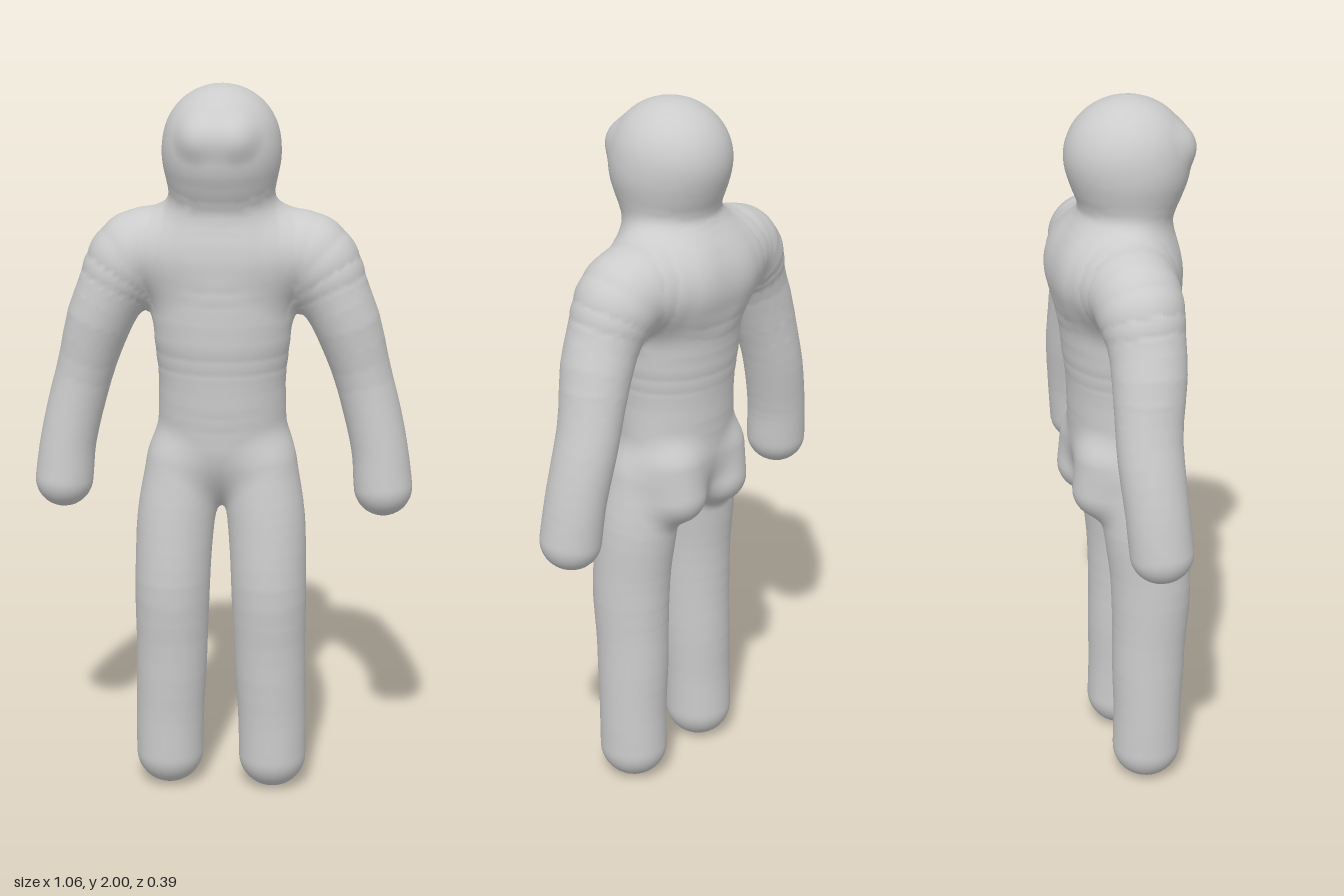
import * as THREE from 'three';

// Each part is a rounded tube through rows of [x, y, z, radius, depth / width].
// "blend" is how softly it melts into the parts before it.
const PARTS = [
  { name: 'torso', blend: 0, rows: [
    [0, 1.51, -0.015, 0.185, 0.95], [0, 1.36, 0, 0.19, 0.87],
    [0, 1.18, 0.003, 0.175, 0.86], [0, 1.03, 0, 0.178, 0.81]] },
  { name: 'neck', blend: 0.06, rows: [
    [0, 1.56, 0, 0.14, 0.95], [0, 1.68, 0.015, 0.143, 0.86], [0, 1.78, 0.025, 0.145, 0.95]] },
  { name: 'Arm', blend: 0.07, mirror: true, rows: [
    [0.1, 1.53, -0.03, 0.125, 1.15], [0.235, 1.53, -0.02, 0.118, 1.02],
    [0.32, 1.4, -0.01, 0.094, 1.08], [0.392, 1.18, -0.025, 0.079, 1.12],
    [0.435, 1.0, -0.015, 0.078, 1.1], [0.448, 0.886, -0.006, 0.081, 1.06]] },
  { name: 'Leg', blend: 0.045, mirror: true, rows: [
    [0.105, 0.95, 0.02, 0.105, 1.05], [0.126, 0.8, 0.035, 0.108, 1.06],
    [0.135, 0.62, 0.052, 0.105, 1.07], [0.139, 0.4, 0.045, 0.1, 1.03],
    [0.146, 0.2, 0.04, 0.096, 1], [0.147, 0.095, 0.038, 0.095, 1.02]] },
  { name: 'Buttock', blend: 0.04, mirror: true, rows: [
    [0.09, 1.0, -0.055, 0.085, 1.1], [0.088, 0.91, -0.068, 0.085, 1.06]] },
  { name: 'head', blend: 0.04, rows: [
    [0, 1.841, 0.018, 0.159, 1.06], [0, 1.835, 0.02, 0.159, 1.06]] },
  { name: 'facePlate', blend: 0.012, rows: [
    [-0.035, 1.862, 0.1, 0.08, 1.2], [0.035, 1.862, 0.1, 0.08, 1.2]] },
];

// Smooth the rows into short tapered segments, optionally mirrored.
function makePart({ name, blend, rows }, side = 1) {
  const path = new THREE.CatmullRomCurve3(rows.map(r => new THREE.Vector3(side * r[0], r[1], r[2])));
  const size = rows.map(r => [r[3], r[4]]);
  const n = rows.length > 2 ? (rows.length - 1) * 4 : 1;
  const segs = [];
  const sample = i => {
    const t = i / n, p = path.getPoint(t), f = t * (rows.length - 1);
    const j = Math.min(Math.floor(f), rows.length - 2), u = f - j;
    const s = u * u * (3 - 2 * u);
    const mix = k => size[j][k] + (size[j + 1][k] - size[j][k]) * s;
    return [p.x, p.y, p.z, mix(0), mix(1)];
  };
  for (let i = 0; i < n; i++) segs.push([sample(i), sample(i + 1)]);
  return { name, blend, segs };
}

const parts = PARTS.flatMap(p => p.mirror
  ? [makePart({ ...p, name: 'left' + p.name }, 1), makePart({ ...p, name: 'right' + p.name }, -1)]
  : [makePart(p)]);

// Signed distance to one part.
function partDistance(part, x, y, z) {
  let best = Infinity;
  for (const [a, b] of part.segs) {
    const ex = b[0] - a[0], ey = b[1] - a[1], ez = b[2] - a[2];
    let h = ((x - a[0]) * ex + (y - a[1]) * ey + (z - a[2]) * ez) / (ex * ex + ey * ey + ez * ez);
    h = Math.min(1, Math.max(0, h));
    const dx = x - a[0] - ex * h, dy = y - a[1] - ey * h;
    const dz = (z - a[2] - ez * h) / (a[4] + (b[4] - a[4]) * h);
    const d = Math.sqrt(dx * dx + dy * dy + dz * dz) - a[3] - (b[3] - a[3]) * h;
    if (d < best) best = d;
  }
  return best;
}

// Signed distance to the whole blended body.
function bodyDistance(x, y, z) {
  let d = Infinity;
  for (const part of parts) {
    const e = partDistance(part, x, y, z);
    const h = part.blend ? Math.max(part.blend - Math.abs(d - e), 0) : 0;
    d = Math.min(d, e) - (h ? h * h / (4 * part.blend) : 0);
  }
  return d;
}

function gradient(x, y, z) {
  const e = 0.002, f = bodyDistance;
  return new THREE.Vector3(
    f(x + e, y, z) - f(x - e, y, z),
    f(x, y + e, z) - f(x, y - e, z),
    f(x, y, z + e) - f(x, y, z - e)).divideScalar(2 * e);
}

export function createModel() {
  const step = 0.0135, min = [-0.57, -0.04, -0.25];
  const dim = [1.14, 2.08, 0.5].map(s => Math.ceil(s / step) + 1);
  const stride = [1, dim[0], dim[0] * dim[1]];

  // Sample the body on a grid.
  const field = new Float32Array(dim[0] * dim[1] * dim[2]);
  for (let k = 0, n = 0; k < dim[2]; k++)
    for (let j = 0; j < dim[1]; j++)
      for (let i = 0; i < dim[0]; i++)
        field[n++] = bodyDistance(min[0] + i * step, min[1] + j * step, min[2] + k * step);

  // One vertex per cell, slid from the cell centre onto the surface.
  const cells = new Map();
  const vertex = n => {
    if (!cells.has(n)) {
      const g = [n % dim[0], Math.floor(n / stride[1]) % dim[1], Math.floor(n / stride[2])];
      const p = new THREE.Vector3(...g.map((v, a) => min[a] + (v + 0.5) * step));
      for (let i = 0; i < 3; i++) {
        const q = gradient(p.x, p.y, p.z);
        p.addScaledVector(q, -bodyDistance(p.x, p.y, p.z) / Math.max(q.lengthSq(), 0.2));
      }
      cells.set(n, { p, normal: gradient(p.x, p.y, p.z).normalize() });
    }
    return cells.get(n);
  };

  // A quad around every grid edge that crosses the surface, given to its nearest part.
  const buffers = parts.map(() => ({ pos: [], nor: [] }));
  for (let n = 0; n < field.length; n++) {
    for (let a = 0; a < 3; a++) {
      const far = n + stride[a];
      if (far >= field.length || (field[n] < 0) === (field[far] < 0)) continue;
      const b = stride[(a + 1) % 3], c = stride[(a + 2) % 3];
      const quad = [n, n - b, n - b - c, n - c].map(vertex);
      if (field[n] >= 0) quad.reverse();
      const m = new THREE.Vector3();
      quad.forEach(v => m.addScaledVector(v.p, 0.25));
      const dist = parts.map(part => partDistance(part, m.x, m.y, m.z));
      const { pos, nor } = buffers[dist.indexOf(Math.min(...dist))];
      for (const i of [0, 1, 2, 0, 2, 3]) {
        pos.push(...quad[i].p.toArray());
        nor.push(...quad[i].normal.toArray());
      }
    }
  }

  const group = new THREE.Group();
  group.name = 'figure';
  const material = new THREE.MeshStandardMaterial({ color: 0xcccccc });
  buffers.forEach(({ pos, nor }, i) => {
    if (!pos.length) return;
    const geometry = new THREE.BufferGeometry();
    geometry.setAttribute('position', new THREE.Float32BufferAttribute(pos, 3));
    geometry.setAttribute('normal', new THREE.Float32BufferAttribute(nor, 3));
    const mesh = new THREE.Mesh(geometry, material);
    mesh.name = parts[i].name;
    group.add(mesh);
  });
  return group;
}
